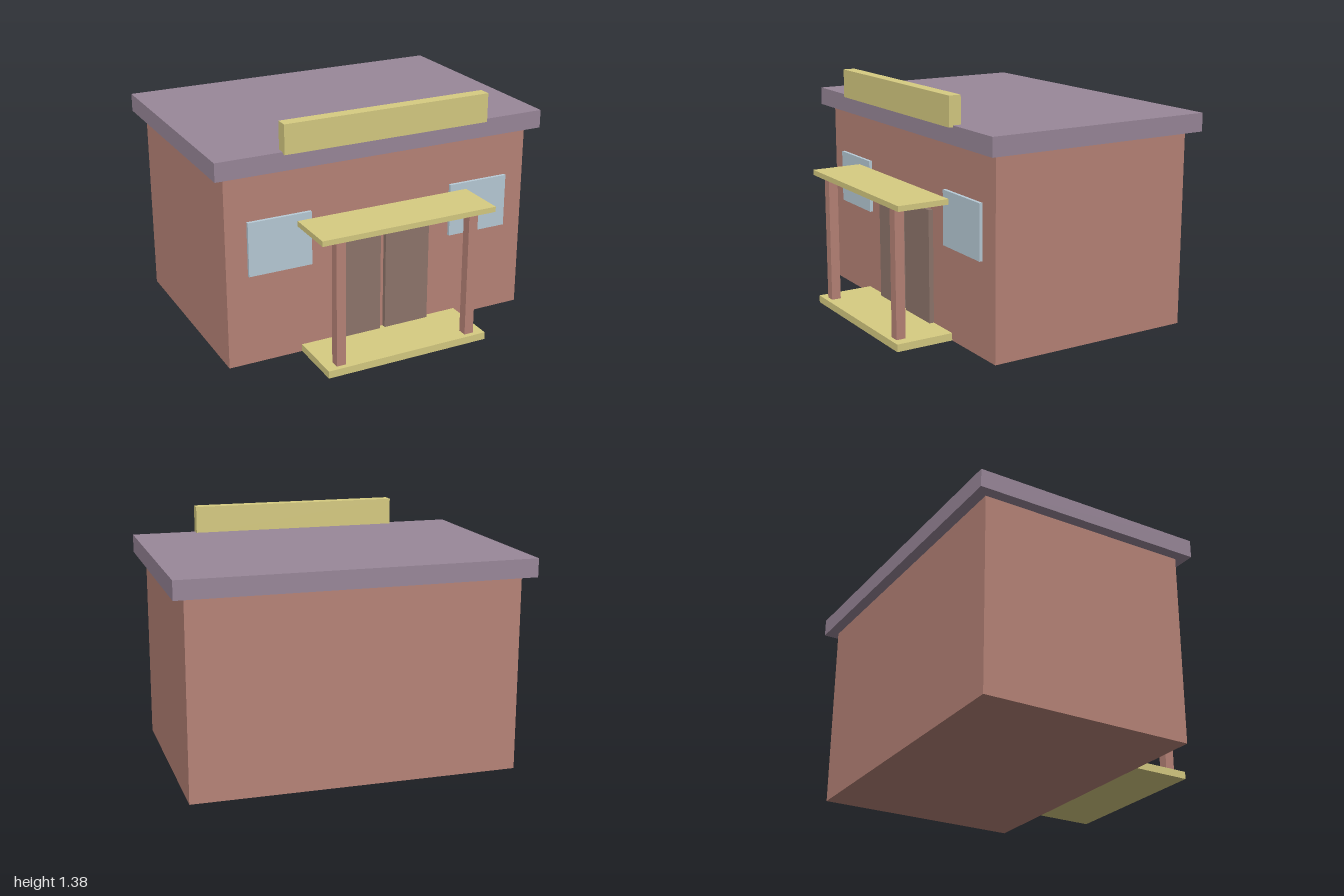
import * as THREE from 'three';

const material = (color) => new THREE.MeshStandardMaterial({ color });

export function createModel() {
  const model = new THREE.Group();
  const brick = material(0xb88478);
  const slate = material(0x9a889a);
  const cream = material(0xd7cc82);
  const wood = material(0x8f766c);
  const glass = material(0xb9ccd8);

  // Box given by its extents along each axis
  const block = (name, mat, [x0, x1], [y0, y1], [z0, z1]) => {
    const mesh = new THREE.Mesh(new THREE.BoxGeometry(x1 - x0, y1 - y0, z1 - z0), mat);
    mesh.name = name;
    mesh.position.set((x0 + x1) / 2, (y0 + y1) / 2, (z0 + z1) / 2);
    model.add(mesh);
  };

  // Building body, flat roof and blank sign board
  block('walls', brick, [-0.935, 0.935], [0, 1.125], [-0.76, 0.483]);
  block('roof', slate, [-1, 1], [1.12, 1.225], [-0.825, 0.545]);
  block('signBoard', cream, [-0.62, 0.62], [1.215, 1.382], [0.497, 0.568]);

  // Porch floor and canopy
  block('porchFloor', cream, [-0.497, 0.497], [0, 0.043], [0.483, 0.825]);
  block('porchCanopy', cream, [-0.53, 0.53], [0.782, 0.813], [0.52, 0.825]);

  // Mirrored posts, doors and windows
  for (const [side, s] of [['left', 1], ['right', -1]]) {
    const span = (a, b) => (s > 0 ? [a, b] : [-b, -a]);
    block(side + 'Post', brick, span(0.379, 0.435), [0.043, 0.782], [0.74, 0.796]);
    block(side + 'Door', wood, span(0.016, 0.295), [0.043, 0.7], [0.478, 0.511]);
    block(side + 'Window', glass, span(0.437, 0.81), [0.533, 0.845], [0.478, 0.502]);
  }
  return model;
}
